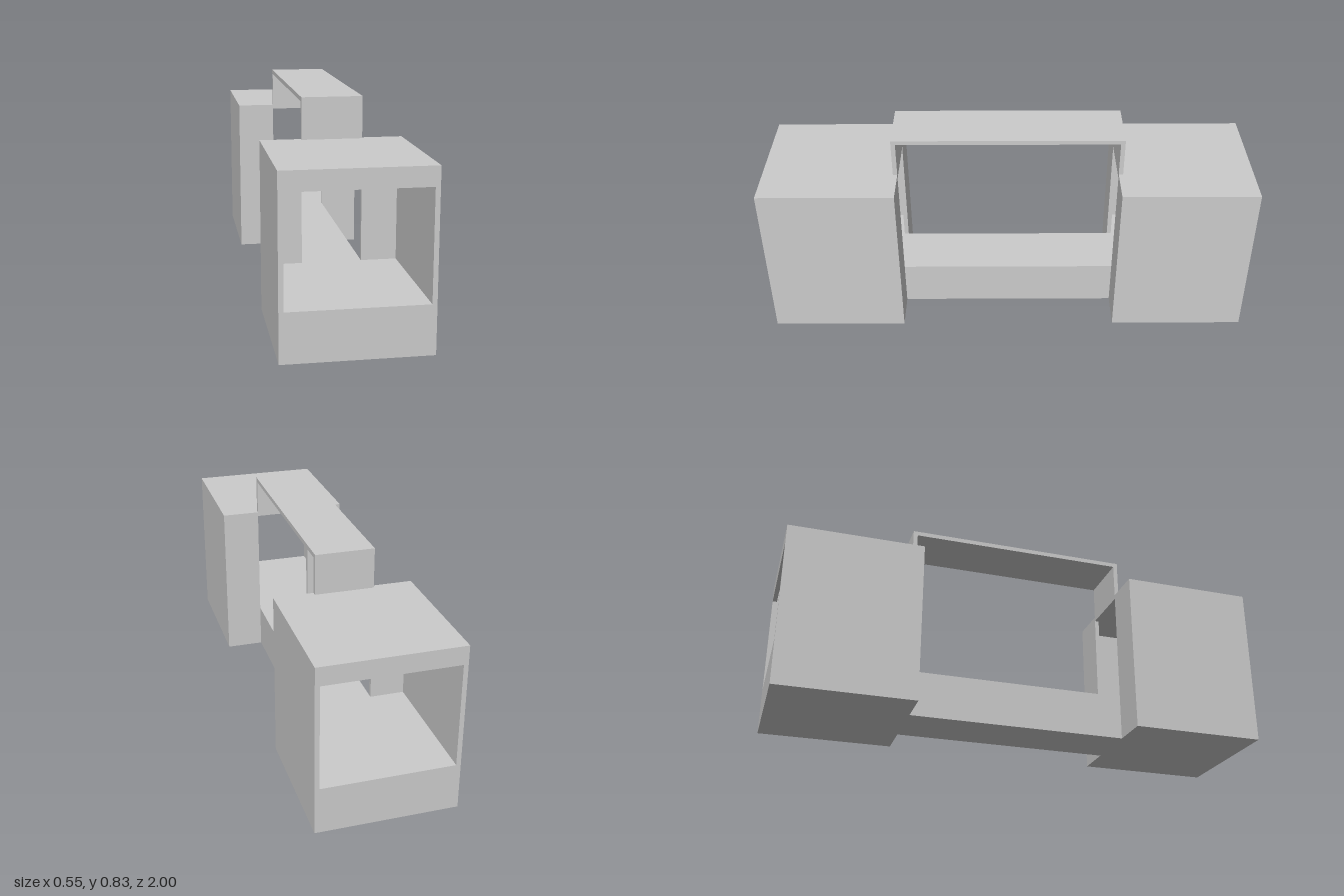
import * as THREE from 'three';

const W = 0.275, N = 0.117, T = 0.018;          // pod half width, bridge half width, wall thickness
const Z0 = 0.45, Z1 = 1;                        // inner and outer ends of a pod
const FLOOR = 0.187, LIP = 0.6, TOP = 0.673, HANDLE = 0.835;

export function createModel() {
  const group = new THREE.Group();
  const material = new THREE.MeshStandardMaterial({ color: 0xcccccc, flatShading: true });

  const add = (name, geometry, parent) => {
    const mesh = new THREE.Mesh(geometry, material);
    mesh.name = name;
    parent.add(mesh);
  };
  // Box given by its limits on each axis
  const box = (x0, x1, y0, y1, z0, z1) =>
    new THREE.BoxGeometry(x1 - x0, y1 - y0, z1 - z0)
      .translate((x0 + x1) / 2, (y0 + y1) / 2, (z0 + z1) / 2);
  // Plan outline of [x, z] points raised from y0 to y1
  const raise = (points, y0, y1) => {
    const shape = new THREE.Shape(points.map(([x, z]) => new THREE.Vector2(x, -z)));
    return new THREE.ExtrudeGeometry(shape, { depth: y1 - y0, bevelEnabled: false })
      .rotateX(-Math.PI / 2).translate(0, y0, 0);
  };

  // One solid base: two wide ends joined by a narrow bridge
  add('base', raise([
    [-W, -Z1], [W, -Z1], [W, -Z0], [N, -Z0], [N, Z0], [W, Z0],
    [W, Z1], [-W, Z1], [-W, Z0], [-N, Z0], [-N, -Z0], [-W, -Z0],
  ], 0, FLOOR), group);

  // Hollow pods at both ends, open outward and through a doorway inward
  for (const end of ['front', 'back']) {
    const pod = new THREE.Group();
    pod.name = end + 'Pod';
    if (end === 'back') pod.rotation.y = Math.PI;
    for (const s of [-1, 1]) {
      add(s > 0 ? 'leftWall' : 'rightWall', raise([
        [s * N, Z0], [s * W, Z0], [s * W, Z1],
        [s * (W - T), Z1], [s * (W - T), Z0 + T], [s * N, Z0 + T],
      ], FLOOR, TOP - T), pod);
    }
    add('roof', box(-W, W, TOP - T, TOP, Z0, Z1), pod);
    add('openingLip', box(-W + T, W - T, LIP, TOP - T, Z1 - T, Z1), pod);
    group.add(pod);
  }

  // Thin strap handle: inverted U swept across its width
  const h = Z0 + T;
  const strap = new THREE.Shape([
    [-h, TOP], [-Z0, TOP], [-Z0, HANDLE - T], [Z0, HANDLE - T],
    [Z0, TOP], [h, TOP], [h, HANDLE], [-h, HANDLE],
  ].map(([z, y]) => new THREE.Vector2(z, y)));
  add('handle', new THREE.ExtrudeGeometry(strap, { depth: 2 * N, bevelEnabled: false })
    .translate(0, 0, -N).rotateY(-Math.PI / 2), group);

  return group;
}
